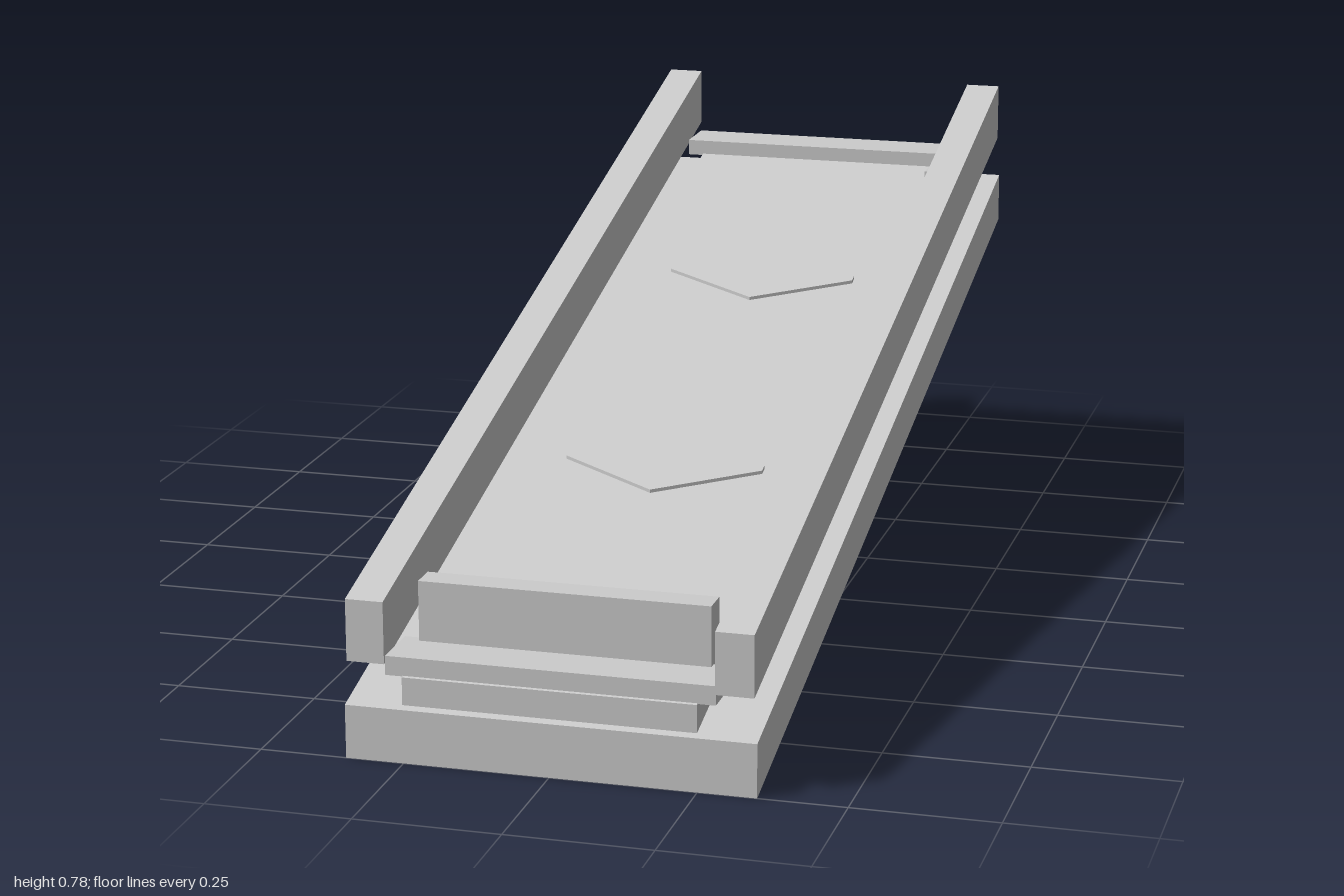
import * as THREE from 'three';

const SLOPE = 0.25;

export function createModel() {
  const group = new THREE.Group();
  const material = new THREE.MeshStandardMaterial({ color: 0xcccccc, flatShading: true });

  function add(name, geometry) {
    const mesh = new THREE.Mesh(geometry, material);
    mesh.name = name;
    group.add(mesh);
  }

  // Box given by its limits on each axis
  function block([x0, x1], [y0, y1], [z0, z1]) {
    return new THREE.BoxGeometry(x1 - x0, y1 - y0, z1 - z0)
      .translate((x0 + x1) / 2, (y0 + y1) / 2, (z0 + z1) / 2);
  }

  // Shear along z so the part climbs to the back while its ends stay vertical
  function incline(geometry) {
    const p = geometry.attributes.position;
    for (let i = 0; i < p.count; i++) p.setY(i, p.getY(i) - SLOPE * p.getZ(i));
    geometry.computeVertexNormals();
    return geometry;
  }

  // Sloping base and conveyor bed; heights are those at z = 0
  add('base', incline(block([-0.35, 0.35], [0.25, 0.343], [-1, 1])));
  add('belt', incline(block([-0.25, 0.25], [0.352, 0.4], [-1, 1])));

  // Side rails
  for (const [name, x] of [['leftRail', 0.3125], ['rightRail', -0.3125]]) {
    add(name, incline(block([x - 0.0325, x + 0.0325], [0.42, 0.527], [-1, 1])));
  }

  // Level cross bars and the roller blocks below them
  add('frontBar', block([-0.28, 0.28], [0.15, 0.183], [0.895, 0.995]));
  add('frontRollerBlock', block([-0.24, 0.24], [0.097, 0.15], [0.895, 0.985]));
  add('backBar', block([-0.28, 0.28], [0.622, 0.652], [-0.998, -0.9]));
  add('backRollerBlock', block([-0.24, 0.24], [0.597, 0.622], [-0.985, -0.9]));

  // End stop and drive box
  add('endStop', block([-0.25, 0.25], [0.17, 0.287], [0.86, 0.91]));
  add('driveBox', block([0.24, 0.28], [0.538, 0.641], [-0.94, -0.78]));

  // Chevron markers on the belt, pointing down the slope
  for (const tip of [-0.31, 0.39]) {
    const shape = new THREE.Shape();
    const w = 0.18, rise = 0.09, t = 0.018;
    [[0, -tip], [w, -tip + rise], [w, -tip + rise + t], [0, -tip + t], [-w, -tip + rise + t], [-w, -tip + rise]]
      .forEach(([x, y], i) => (i ? shape.lineTo(x, y) : shape.moveTo(x, y)));
    const chevron = new THREE.ExtrudeGeometry(shape, { depth: 0.012, bevelEnabled: false });
    chevron.rotateX(-Math.PI / 2).translate(0, 0.394, 0);
    add('chevron', incline(chevron));
  }
  return group;
}
